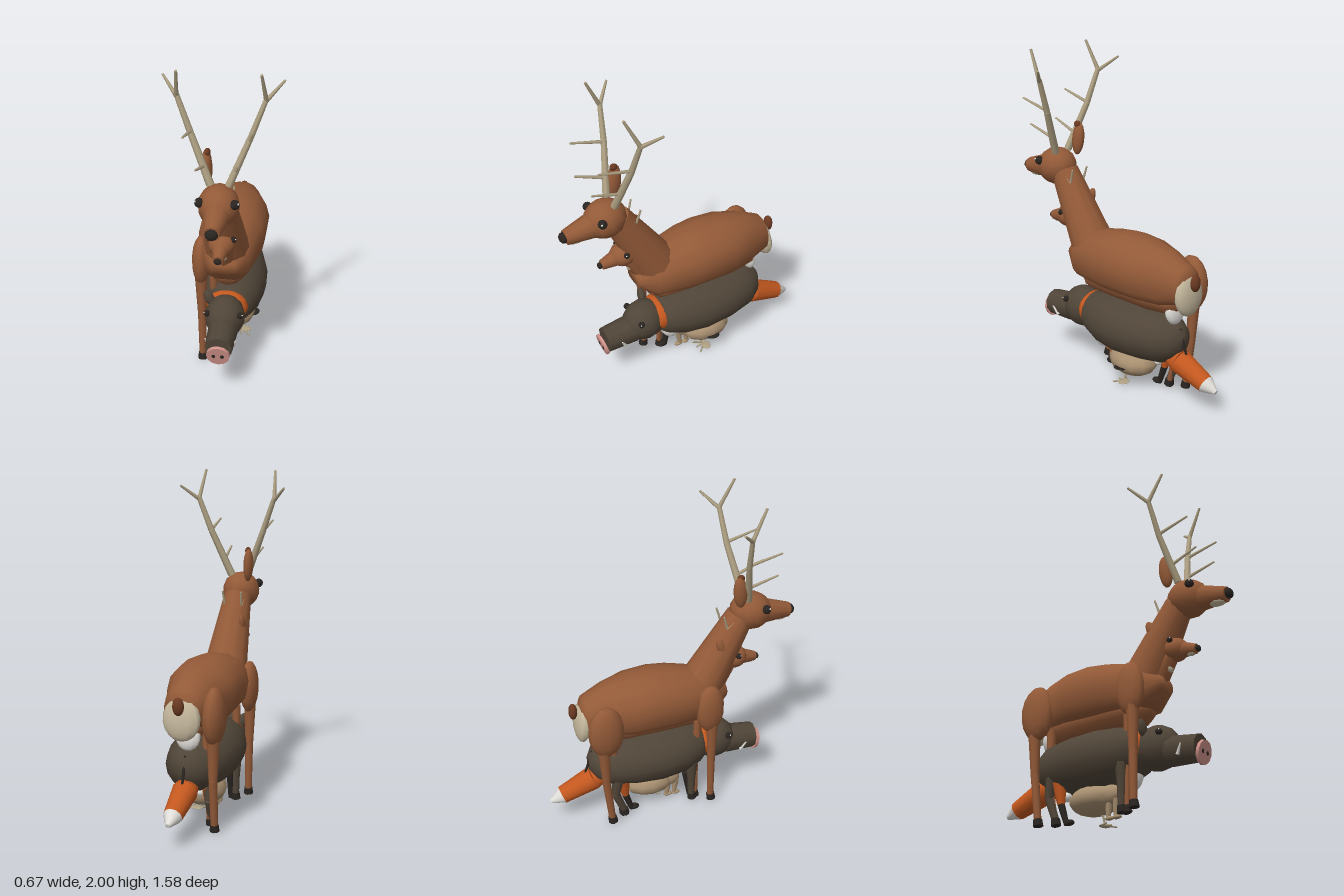
import * as THREE from 'three';

const mat = (name, color) => {
  const m = new THREE.MeshStandardMaterial({ color });
  m.name = name;
  return m;
};

export function createModel() {
  const root = new THREE.Group();
  root.name = 'forestAnimals';
  const brown = mat('deerBrown', 0x935a38), bristle = mat('boarBrown', 0x504538),
    orange = mat('foxOrange', 0xc4581f), cream = mat('cream', 0xc4b79c),
    white = mat('white', 0xe2dfda), antler = mat('antlerTan', 0xb0a284),
    dark = mat('darkHoof', 0x2a2521), pink = mat('snoutPink', 0xd0928a),
    tan = mat('featherTan', 0xa88f70), rust = mat('rustBrown', 0x6b3a22);

  let group = root;
  const begin = (name) => {
    group = new THREE.Group();
    group.name = name;
    root.add(group);
  };
  const add = (name, geo, m) => {
    const mesh = new THREE.Mesh(geo, m);
    mesh.name = name;
    group.add(mesh);
    return mesh;
  };
  const ball = (name, m, p, s, rx = 0, rz = 0) => {
    const b = add(name, new THREE.SphereGeometry(1, 12, 9), m);
    b.position.set(...p);
    b.scale.set(...s);
    b.rotation.set(rx, 0, rz);
    return b;
  };
  // Tapered rod from a (radius ra) to b (radius rb)
  const rod = (name, m, a, b, ra, rb, sides = 8) => {
    const A = new THREE.Vector3(...a), B = new THREE.Vector3(...b), d = B.clone().sub(A);
    const r = add(name, new THREE.CylinderGeometry(rb, ra, d.length(), sides), m);
    r.position.copy(A).add(B).multiplyScalar(0.5);
    r.quaternion.setFromUnitVectors(new THREE.Vector3(0, 1, 0), d.normalize());
    return r;
  };
  // Body skinned over sections [z, centreY, halfWidth, halfHeight], z rising;
  // a power below 1 makes the lower half of each section squarer
  const loft = (name, m, sections, sides = 14, power = 1) => {
    const pos = [], idx = [], n = sections.length;
    const bend = (v, p) => Math.sign(v) * Math.abs(v) ** p;
    for (const [z, y, rx, ry] of sections)
      for (let i = 0; i < sides; i++) {
        const a = (i / sides) * Math.PI * 2, p = Math.sin(a) < -0.01 ? power : 1;
        pos.push(rx * bend(Math.cos(a), p), y + ry * bend(Math.sin(a), p), z);
      }
    const back = pos.length / 3, front = back + 1;
    pos.push(0, sections[0][1], sections[0][0], 0, sections[n - 1][1], sections[n - 1][0]);
    for (let i = 0; i < sides; i++) {
      const j = (i + 1) % sides;
      for (let k = 0; k < n - 1; k++) {
        const p = k * sides, q = p + sides;
        idx.push(p + i, p + j, q + i, p + j, q + j, q + i);
      }
      idx.push(back, j, i, front, (n - 1) * sides + i, (n - 1) * sides + j);
    }
    const g = new THREE.BufferGeometry();
    g.setAttribute('position', new THREE.Float32BufferAttribute(pos, 3));
    g.setIndex(idx);
    g.computeVertexNormals();
    return add(name, g, m);
  };
  const eyes = (x, y, z, r) => {
    for (const s of [-1, 1]) {
      ball('eye', dark, [s * x, y, z], [r, r, r]);
      ball('eyeGlint', white, [s * (x + r * 0.75), y + r * 0.4, z + r * 0.45], [r * 0.22, r * 0.22, r * 0.22]);
    }
  };
  // Leg through hip, knee and ankle, ending in a hoof
  const leg = (name, m, hip, knee, foot, r) => {
    rod(name + 'Upper', m, hip, knee, r * 1.5, r);
    rod(name + 'Lower', m, knee, [foot[0], 0.05, foot[2]], r, r * 0.85);
    rod(name + 'Hoof', dark, [foot[0], 0.015, foot[2] + 0.005], [foot[0], 0.055, foot[2]], r * 1.15, r);
  };

  // Large stag
  begin('stag');
  loft('body', brown, [[-0.575, 0.76, 0.06, 0.06], [-0.55, 0.755, 0.11, 0.11], [-0.42, 0.765, 0.145, 0.165],
    [-0.27, 0.78, 0.2, 0.178], [-0.12, 0.785, 0.204, 0.185], [0, 0.778, 0.2, 0.176], [0.12, 0.765, 0.172, 0.163],
    [0.24, 0.75, 0.145, 0.14], [0.34, 0.75, 0.075, 0.045]], 14, 0.75);
  rod('neck', brown, [0, 0.81, 0.195], [0, 1.23, 0.44], 0.135, 0.085, 12);
  ball('head', brown, [0, 1.25, 0.505], [0.115, 0.115, 0.13], 0.15);
  rod('muzzle', brown, [0, 1.235, 0.57], [0, 1.207, 0.755], 0.08, 0.045, 10);
  ball('chin', cream, [0, 1.175, 0.685], [0.035, 0.022, 0.06], 0.1);
  ball('nose', dark, [0, 1.21, 0.765], [0.036, 0.031, 0.025]);
  eyes(0.096, 1.29, 0.565, 0.027);
  ball('ear', brown, [-0.078, 1.425, 0.4], [0.03, 0.103, 0.043], -0.1, 0.05);
  ball('earTip', rust, [-0.075, 1.515, 0.402], [0.017, 0.022, 0.024]);
  for (const s of [-1, 1]) {
    const p = (x, y, z) => [s * x, y, z];
    rod('beamLower', antler, p(0.05, 1.35, 0.466), p(0.165, 1.63, 0.41), 0.024, 0.019, 6);
    rod('beamUpper', antler, p(0.165, 1.63, 0.41), p(0.24, 1.835, 0.388), 0.019, 0.015, 6);
    rod('browTine', antler, p(0.09, 1.45, 0.446), p(0.105, 1.51, 0.625), 0.011, 0.006, 5);
    rod('middleTine', antler, p(0.165, 1.635, 0.41), p(0.172, 1.685, 0.61), 0.011, 0.006, 5);
    rod('frontTine', antler, p(0.24, 1.825, 0.388), p(0.222, 2, 0.475), 0.014, 0.008, 5);
    rod('rearTine', antler, p(0.24, 1.825, 0.388), p(0.328, 1.91, 0.3), 0.013, 0.007, 5);
  }
  ball('rumpPatch', cream, [0, 0.7, -0.565], [0.112, 0.125, 0.045], 0.1);
  ball('tail', rust, [0, 0.785, -0.615], [0.034, 0.052, 0.026]);
  ball('shoulder', brown, [-0.153, 0.71, 0.195], [0.055, 0.16, 0.09]);
  ball('haunch', brown, [-0.155, 0.7, -0.46], [0.065, 0.17, 0.11]);
  leg('frontLeg', brown, [-0.155, 0.65, 0.21], [-0.15, 0.34, 0.21], [-0.148, 0, 0.21], 0.026);
  leg('rearLeg', brown, [-0.155, 0.6, -0.48], [-0.15, 0.33, -0.47], [-0.148, 0, -0.44], 0.026);

  // Smaller deer standing within the stag
  begin('smallDeer');
  loft('body', brown, [[-0.5, 0.63, 0.05, 0.05], [-0.46, 0.63, 0.085, 0.08], [-0.3, 0.635, 0.115, 0.1],
    [0, 0.635, 0.115, 0.1], [0.18, 0.63, 0.1, 0.09], [0.245, 0.63, 0.05, 0.05]], 12);
  rod('neck', brown, [0, 0.7, 0.2], [0, 0.93, 0.37], 0.09, 0.055, 10);
  ball('head', brown, [0, 0.95, 0.405], [0.077, 0.07, 0.082]);
  rod('muzzle', brown, [0, 0.94, 0.45], [0, 0.922, 0.545], 0.05, 0.029, 10);
  ball('chin', cream, [0, 0.9, 0.51], [0.02, 0.012, 0.03]);
  ball('nose', dark, [0, 0.922, 0.555], [0.022, 0.019, 0.015]);
  ball('throatPatch', cream, [0, 0.855, 0.355], [0.035, 0.04, 0.025], -0.5);
  eyes(0.068, 0.985, 0.41, 0.018);
  ball('ear', brown, [-0.076, 1.07, 0.295], [0.022, 0.07, 0.03], -0.4);
  for (const s of [-1, 1]) {
    rod('smallAntler', antler, [s * 0.035, 1.0, 0.39], [s * 0.06, 1.27, 0.31], 0.012, 0.006, 5);
    rod('smallTine', antler, [s * 0.055, 1.18, 0.335], [s * 0.065, 1.23, 0.385], 0.008, 0.005, 5);
  }
  ball('rumpPatch', white, [0, 0.575, -0.465], [0.075, 0.085, 0.038], 0.15);
  leg('frontLeg', brown, [-0.09, 0.6, 0.14], [-0.09, 0.3, 0.13], [-0.09, 0, 0.13], 0.018);
  leg('rearLeg', brown, [-0.09, 0.6, -0.4], [-0.09, 0.3, -0.41], [-0.09, 0, -0.36], 0.019);

  // Boar
  begin('boar');
  loft('body', bristle, [[-0.535, 0.39, 0.04, 0.05], [-0.5, 0.385, 0.1, 0.105], [-0.42, 0.38, 0.155, 0.148],
    [-0.27, 0.378, 0.195, 0.168], [-0.1, 0.376, 0.205, 0.178], [0.05, 0.378, 0.185, 0.165],
    [0.16, 0.385, 0.145, 0.135], [0.21, 0.385, 0.1, 0.1]], 16);
  ball('mane', bristle, [0, 0.5, 0.06], [0.035, 0.075, 0.11], 0.15);
  ball('head', bristle, [0, 0.38, 0.28], [0.12, 0.13, 0.14]);
  rod('snout', bristle, [0, 0.345, 0.36], [0, 0.328, 0.55], 0.09, 0.08, 10);
  rod('snoutDisc', pink, [0, 0.3, 0.558], [0, 0.296, 0.575], 0.07, 0.068, 12);
  for (const s of [-1, 1]) {
    ball('nostril', dark, [s * 0.025, 0.298, 0.576], [0.011, 0.014, 0.004]);
    rod('tusk', white, [s * 0.073, 0.29, 0.445], [s * 0.09, 0.345, 0.475], 0.012, 0.004, 6);
  }
  eyes(0.098, 0.435, 0.345, 0.02);
  ball('ear', bristle, [-0.1, 0.475, 0.24], [0.03, 0.055, 0.025], 0, 0.4);
  rod('tail', dark, [0, 0.47, -0.505], [0, 0.32, -0.56], 0.012, 0.007, 6);
  leg('frontLeg', bristle, [-0.1, 0.3, 0.1], [-0.1, 0.16, 0.1], [-0.1, 0, 0.1], 0.026);
  leg('rearLeg', bristle, [-0.1, 0.3, -0.38], [-0.1, 0.18, -0.4], [-0.1, 0, -0.35], 0.026);

  // Fox tucked inside the boar
  begin('fox');
  loft('body', orange, [[-0.42, 0.31, 0.05, 0.05], [-0.35, 0.31, 0.09, 0.09], [0, 0.31, 0.09, 0.09],
    [0.14, 0.32, 0.06, 0.06]], 12);
  ball('head', orange, [0, 0.4, 0.19], [0.128, 0.103, 0.06]);
  ball('chest', white, [0, 0.25, 0.095], [0.075, 0.085, 0.07]);
  rod('tailBase', orange, [0, 0.3, -0.4], [0, 0.265, -0.515], 0.045, 0.075, 12);
  rod('tail', orange, [0, 0.265, -0.515], [0, 0.187, -0.71], 0.075, 0.055, 12);
  rod('tailTip', white, [0, 0.187, -0.71], [0, 0.158, -0.785], 0.055, 0.014, 12);
  rod('frontLeg', dark, [-0.07, 0.02, 0.1], [-0.07, 0.2, 0.07], 0.017, 0.022);
  rod('rearThigh', orange, [-0.08, 0.3, -0.35], [-0.075, 0.14, -0.33], 0.05, 0.022);
  rod('rearLeg', dark, [-0.075, 0.14, -0.33], [-0.075, 0.02, -0.29], 0.022, 0.016);
  for (const z of [0.115, -0.275]) ball('paw', dark, [-0.072, 0.028, z], [0.022, 0.018, 0.035]);

  // Ground bird and its small companion beneath the boar
  begin('groundBird');
  ball('body', tan, [0.01, 0.155, -0.15], [0.125, 0.088, 0.165]);
  ball('wing', dark, [0.122, 0.14, -0.15], [0.04, 0.006, 0.045], 0, 0.1);
  rod('shank', antler, [0.03, 0.09, -0.12], [0.045, 0.02, -0.11], 0.008, 0.006, 6);
  for (const a of [-0.35, 0, 0.35])
    rod('toe', antler, [0.045, 0.02, -0.13], [0.055 + a * 0.15, 0.012, -0.07], 0.007, 0.005, 5);
  ball('footWeb', antler, [0.07, 0.018, -0.13], [0.04, 0.005, 0.03]);
  begin('hare');
  ball('body', tan, [-0.02, 0.16, -0.03], [0.05, 0.06, 0.08]);
  ball('tail', white, [-0.02, 0.2, -0.33], [0.033, 0.028, 0.028]);
  for (const z of [0.02, -0.03]) {
    rod('leg', tan, [-0.03, 0.13, z], [-0.025, 0.03, z - 0.01], 0.022, 0.013, 7);
    ball('foot', tan, [-0.025, 0.025, z], [0.016, 0.013, 0.03]);
  }

  return root;
}
